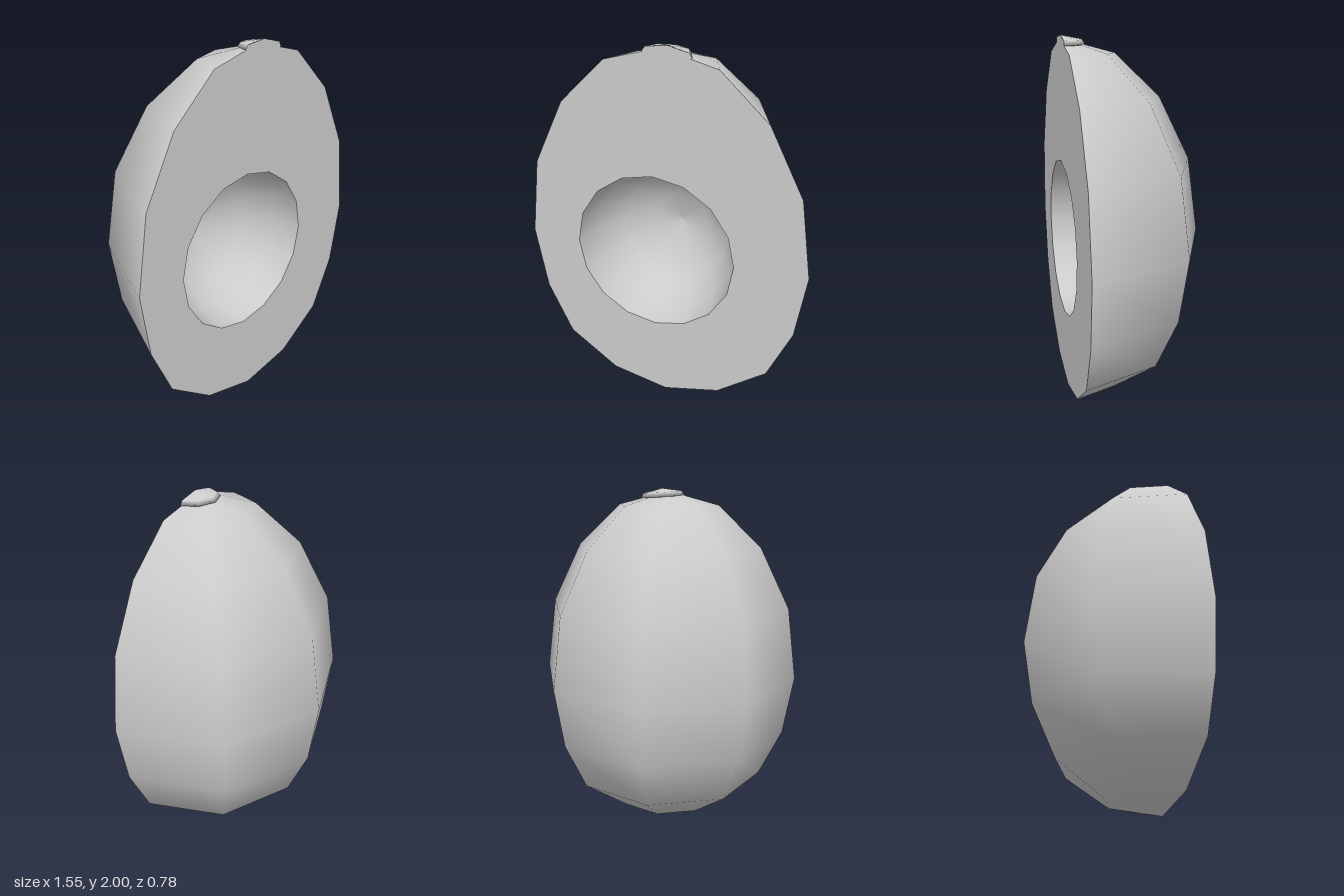
import * as THREE from 'three';

const FRONT = 0.39; // plane of the cut

const points = (list) => list.map(([x, y]) => new THREE.Vector2(x, y));

// Half of a lathe, lying behind the cut plane
const halfLathe = (profile) =>
  new THREE.LatheGeometry(points(profile), 4, Math.PI / 2, Math.PI);

// Flat face closing a half lathe, with an optional hole
function cutFace(profile, hole) {
  const mirrored = profile.slice(1, -1).reverse().map(([x, y]) => [-x, y]);
  const shape = new THREE.Shape(points([...profile, ...mirrored]));
  if (hole) shape.holes.push(new THREE.Path(hole));
  return new THREE.ShapeGeometry(shape);
}

export function createModel() {
  const model = new THREE.Group();
  const material = new THREE.MeshStandardMaterial({ color: 0xcccccc });
  const add = (name, geometry, parent = model) => {
    const mesh = new THREE.Mesh(geometry, material);
    mesh.name = name;
    parent.add(mesh);
    return mesh;
  };

  // Halved fruit: skin
  const body = [
    [0, 0], [0.315, 0.07], [0.587, 0.265], [0.72, 0.55], [0.777, 0.9],
    [0.72, 1.32], [0.545, 1.67], [0.295, 1.907], [0, 1.985],
  ];
  add('skin', halfLathe(body)).position.z = FRONT;

  // Cut flesh with the round opening of the stone hollow
  const cx = -0.055, cy = 0.885, radius = 0.443, sides = 16;
  const rim = [];
  for (let i = 0; i < sides; i++) {
    const a = (i / sides) * Math.PI * 2;
    rim.push(new THREE.Vector2(cx + radius * Math.cos(a), cy + radius * Math.sin(a)));
  }
  add('cutFlesh', cutFace(body, rim)).position.z = FRONT;

  // Stone hollow: a hemisphere facing inward
  const bowl = [];
  for (let i = 0; i <= 4; i++) {
    const a = (i / 4) * Math.PI / 2;
    bowl.push([radius * Math.sin(a), radius * Math.cos(a)]);
  }
  const hollow = new THREE.LatheGeometry(points(bowl), sides).rotateX(-Math.PI / 2);
  add('stoneHollow', hollow).position.set(cx, cy, FRONT);

  // Tilted stem button, cut by the same plane
  const stem = new THREE.Group();
  stem.name = 'stem';
  stem.position.set(0.035, 1.955, FRONT);
  stem.rotation.z = -0.066;
  const button = [[0, -0.02], [0.128, 0], [0.112, 0.024], [0, 0.045]];
  add('stemButton', halfLathe(button), stem);
  add('stemCut', cutFace(button), stem).position.z = 0.001;
  model.add(stem);

  return model;
}
